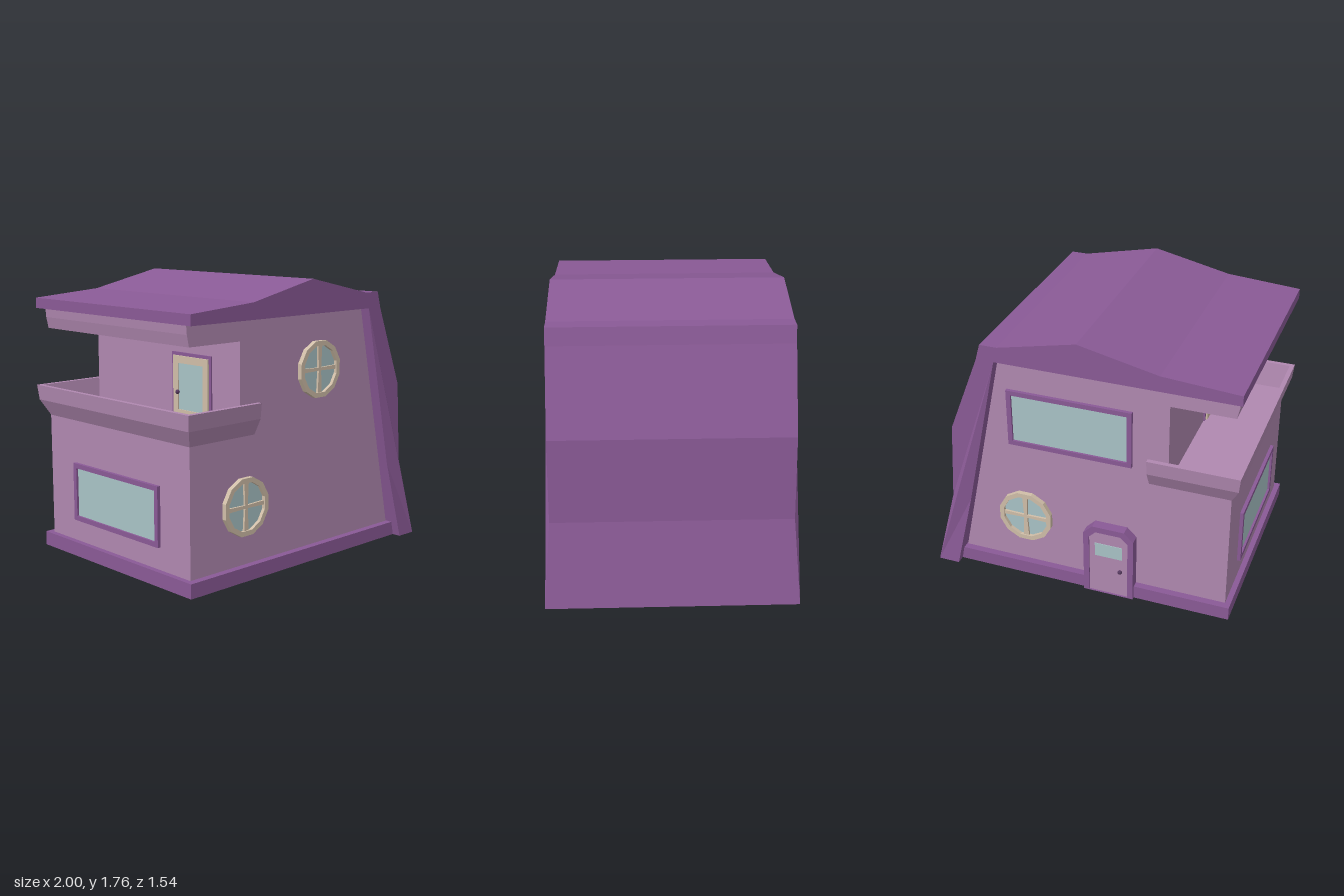
import * as THREE from 'three';

const mat = (name, color) => {
  const m = new THREE.MeshStandardMaterial({ color });
  m.name = name;
  return m;
};

export function createModel() {
  const purple = mat('roof purple', 0x8a5a96);
  const lilac = mat('wall lilac', 0xb088b0);
  const glass = mat('pale glass', 0xa9c3c6);
  const tan = mat('tan trim', 0xd0bea8);
  const dark = mat('dark knob', 0x55395f);
  const house = new THREE.Group();
  house.name = 'house';

  const toPath = (pts) => pts.map(([x, y]) => new THREE.Vector2(x, y));
  const rect = (w, h) => [[-w / 2, -h / 2], [w / 2, -h / 2], [w / 2, h / 2], [-w / 2, h / 2]];
  const ngon = (r, n) => Array.from({ length: n }, (_, i) => {
    const a = ((i + 0.5) / n) * Math.PI * 2;
    return [r * Math.cos(a), r * Math.sin(a)];
  });

  // Extrude an outline from z0 to z1, with an optional hole
  function slab(parent, name, pts, z0, z1, material, hole) {
    const shape = new THREE.Shape(toPath(pts));
    if (hole) shape.holes.push(new THREE.Path(toPath(hole)));
    const geo = new THREE.ExtrudeGeometry(shape, { depth: z1 - z0, bevelEnabled: false });
    geo.translate(0, 0, z0);
    const mesh = new THREE.Mesh(geo, material);
    mesh.name = name;
    parent.add(mesh);
    return mesh;
  }

  // Group whose local +z points out of a wall
  function mount(name, x, y, z, turn) {
    const g = new THREE.Group();
    g.name = name;
    g.position.set(x, y, z);
    g.rotation.y = turn;
    house.add(g);
    return g;
  }

  function knob(parent, x, y, z, r) {
    const k = new THREE.Mesh(new THREE.SphereGeometry(r, 10, 8), dark);
    k.name = 'knob';
    k.position.set(x, y, z);
    parent.add(k);
  }

  // Walls, with the balcony cut out of one upper corner
  slab(house, 'walls', [
    [-0.935, 0.02], [0.85, 0.02], [0.525, 1.556], [-0.955, 1.556], [-0.95, 1.5],
    [-0.935, 1.43], [-0.545, 1.43], [-0.545, 0.9], [-0.935, 0.9],
  ], -0.67, 0.67, lilac);

  // Plinth
  slab(house, 'plinth', [[-0.97, 0], [0.86, 0], [0.841, 0.09], [-0.97, 0.09]], -0.715, 0.715, purple);

  // Roof that folds down one side and flares at the foot
  const roof = slab(house, 'roof', [
    [-0.98, 1.555], [0.525, 1.555], [0.748, 0.52], [0.86, 0], [1, 0], [0.875, 0.52],
    [0.84, 1.04], [0.64, 1.55], [0.61, 1.655], [0.5, 1.655], [0, 1.765], [-0.5, 1.655], [-0.98, 1.62],
  ], -0.735, 0.735, purple);
  const p = roof.geometry.attributes.position;
  for (let i = 0; i < p.count; i++) {
    const flare = 0.037 * Math.max(0, 1 - p.getY(i) / 0.52);
    p.setZ(i, p.getZ(i) + Math.sign(p.getZ(i)) * flare);
  }
  roof.geometry.computeVertexNormals();

  // Balcony parapet: one section swept round three sides with mitred corners
  const section = [[0, 0.87], [0.05, 0.97], [0.06, 1.065], [0.03, 1.065], [0, 0.9]];
  const rings = [
    (d, y) => [-0.425, y, -0.67 - d],
    (d, y) => [-0.935 - d, y, -0.67 - d],
    (d, y) => [-0.935 - d, y, 0.67 + d],
    (d, y) => [-0.425, y, 0.67 + d],
  ].map((f) => section.map(([d, y]) => f(d, y)));
  const verts = [];
  const n = section.length;
  const tri = (a, b, c) => verts.push(...a, ...b, ...c);
  for (let i = 0; i < 3; i++) {
    for (let j = 0; j < n; j++) {
      const k = (j + 1) % n;
      tri(rings[i][j], rings[i + 1][j], rings[i + 1][k]);
      tri(rings[i][j], rings[i + 1][k], rings[i][k]);
    }
  }
  for (let j = 1; j < n - 1; j++) {
    tri(rings[0][0], rings[0][j], rings[0][j + 1]);
    tri(rings[3][0], rings[3][j + 1], rings[3][j]);
  }
  const parapetGeo = new THREE.BufferGeometry();
  parapetGeo.setAttribute('position', new THREE.Float32BufferAttribute(verts, 3));
  parapetGeo.computeVertexNormals();
  const parapet = new THREE.Mesh(parapetGeo, lilac);
  parapet.name = 'balconyParapet';
  house.add(parapet);

  // Round windows with tapered cross bars
  function roundWindow(name, x, y, z, turn) {
    const g = mount(name, x, y, z, turn);
    slab(g, 'frame', ngon(0.181, 12), 0, 0.03, tan, ngon(0.15, 12));
    slab(g, 'pane', ngon(0.152, 12), 0, 0.008, glass);
    for (let i = 0; i < 4; i++) {
      const [a, b] = i % 2 ? [0.01, 0.018] : [0.009, 0.013];
      const bar = slab(g, 'bar', [[0, -a], [0.148, -b], [0.148, b], [0, a]], 0, 0.022, tan);
      bar.rotation.z = (i * Math.PI) / 2;
    }
  }
  roundWindow('upperRoundWindow', 0.12, 1.205, 0.67, 0);
  roundWindow('lowerRoundWindow', -0.51, 0.45, 0.67, 0);
  roundWindow('backRoundWindow', 0.39, 0.44, -0.67, Math.PI);

  // Wide windows
  function wideWindow(name, x, y, z, turn, w, h) {
    const g = mount(name, x, y, z, turn);
    slab(g, 'frame', rect(w, h), 0, 0.022, purple, rect(w - 0.06, h - 0.06));
    slab(g, 'pane', rect(w - 0.05, h - 0.05), 0, 0.008, glass);
  }
  wideWindow('backWindow', 0.08, 1.16, -0.67, Math.PI, 0.8, 0.38);
  wideWindow('sideWindow', -0.935, 0.415, 0, -Math.PI / 2, 0.82, 0.37);

  // Back door with chamfered surround
  const arch = (w, h, c, y0) => [[-w, y0], [w, y0], [w, h - c], [w - c, h], [c - w, h], [-w, h - c]];
  const door = mount('backDoor', -0.185, 0, -0.67, Math.PI);
  slab(door, 'doorFrame', arch(0.165, 0.51, 0.06, 0), 0, 0.066, purple, arch(0.128, 0.47, 0.045, 0.004));
  slab(door, 'doorLeaf', arch(0.13, 0.472, 0.045, 0.002), 0, 0.056, lilac);
  const pane = slab(door, 'doorPane', rect(0.18, 0.095), 0.055, 0.06, glass);
  pane.position.y = 0.335;
  knob(door, 0.08, 0.2, 0.07, 0.014);

  // Glazed balcony door
  const balconyDoor = mount('balconyDoor', -0.545, 0.9, 0.26, -Math.PI / 2);
  const up = (w, h, y0) => [[-w, y0], [w, y0], [w, h], [-w, h]];
  slab(balconyDoor, 'doorFrame', up(0.175, 0.42, 0), 0, 0.009, purple);
  slab(balconyDoor, 'doorLeaf', up(0.155, 0.4, 0), 0.009, 0.02, tan, up(0.11, 0.355, 0.07));
  slab(balconyDoor, 'doorPane', up(0.112, 0.357, 0.068), 0.009, 0.014, glass);
  knob(balconyDoor, -0.1, 0.18, 0.033, 0.014);

  return house;
}
